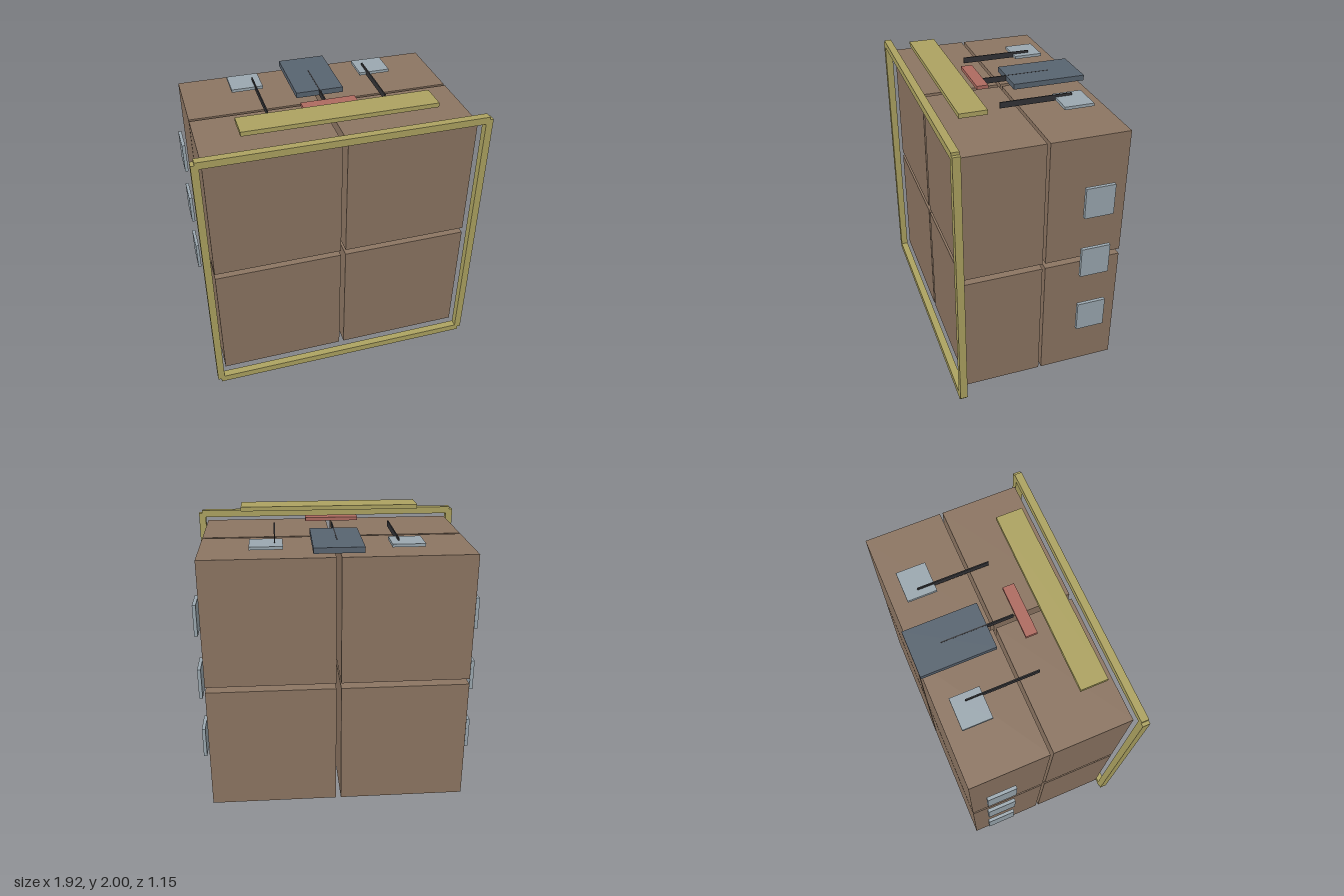
import * as THREE from 'three';

const material = (color) => new THREE.MeshStandardMaterial({ color });

export function createModel() {
  const model = new THREE.Group();
  const brown = material(0x8c7562);
  const olive = material(0xada361);
  const slate = material(0x586470);
  const paleBlue = material(0x9ba8b0);
  const red = material(0xae6b60);
  const dark = material(0x333336);

  // Box given by its extents along each axis
  const block = (name, mat, [x0, x1], [y0, y1], [z0, z1], parent = model) => {
    const mesh = new THREE.Mesh(new THREE.BoxGeometry(x1 - x0, y1 - y0, z1 - z0), mat);
    mesh.position.set((x0 + x1) / 2, (y0 + y1) / 2, (z0 + z1) / 2);
    mesh.name = name;
    parent.add(mesh);
  };
  const mirror = ([a, b], side) => (side > 0 ? [a, b] : [-b, -a]);

  // Eight crates, two by two by two, with narrow gaps
  const crates = new THREE.Group();
  crates.name = 'crates';
  model.add(crates);
  for (const side of [-1, 1])
    for (const y of [[0.074, 0.945], [0.984, 1.855]])
      for (const z of [[-0.562, -0.038], [-0.018, 0.506]])
        block('crate', brown, mirror([0.017, 0.891], side), y, z, crates);

  // Front frame: rails and posts overlap at the corners
  const frame = new THREE.Group();
  frame.name = 'frontFrame';
  model.add(frame);
  const frameZ = [0.524, 0.574];
  block('bottomRail', olive, [-0.937, 0.937], [0, 0.05], frameZ, frame);
  block('topRail', olive, [-0.937, 0.937], [1.873, 1.922], frameZ, frame);
  for (const side of [-1, 1])
    block('post', olive, mirror([0.912, 0.96], side), [0.028, 1.903], frameZ, frame);

  // Pale plates on the sides and the top
  const plateZ = [-0.465, -0.266];
  for (const side of [-1, 1]) {
    for (const y of [0.51, 0.965, 1.42])
      block('sidePlate', paleBlue, mirror([0.92, 0.943], side), [y - 0.108, y + 0.108], plateZ);
    block('topPlate', paleBlue, mirror([0.348, 0.563], side), [1.886, 1.906], plateZ);
  }

  // Thin upright fins, central slab, red bar and header board
  for (const x of [-0.4, 0, 0.4])
    block('fin', dark, [x - 0.004, x + 0.004], [1.883, 1.923], [-0.38, 0.108]);
  block('topSlab', slate, [-0.162, 0.162], [1.885, 1.922], [-0.574, -0.072]);
  block('redBar', red, [-0.182, 0.182], [1.928, 1.952], [0.112, 0.19]);
  block('headerBoard', olive, [-0.636, 0.636], [1.97, 2], [0.262, 0.442]);

  return model;
}
